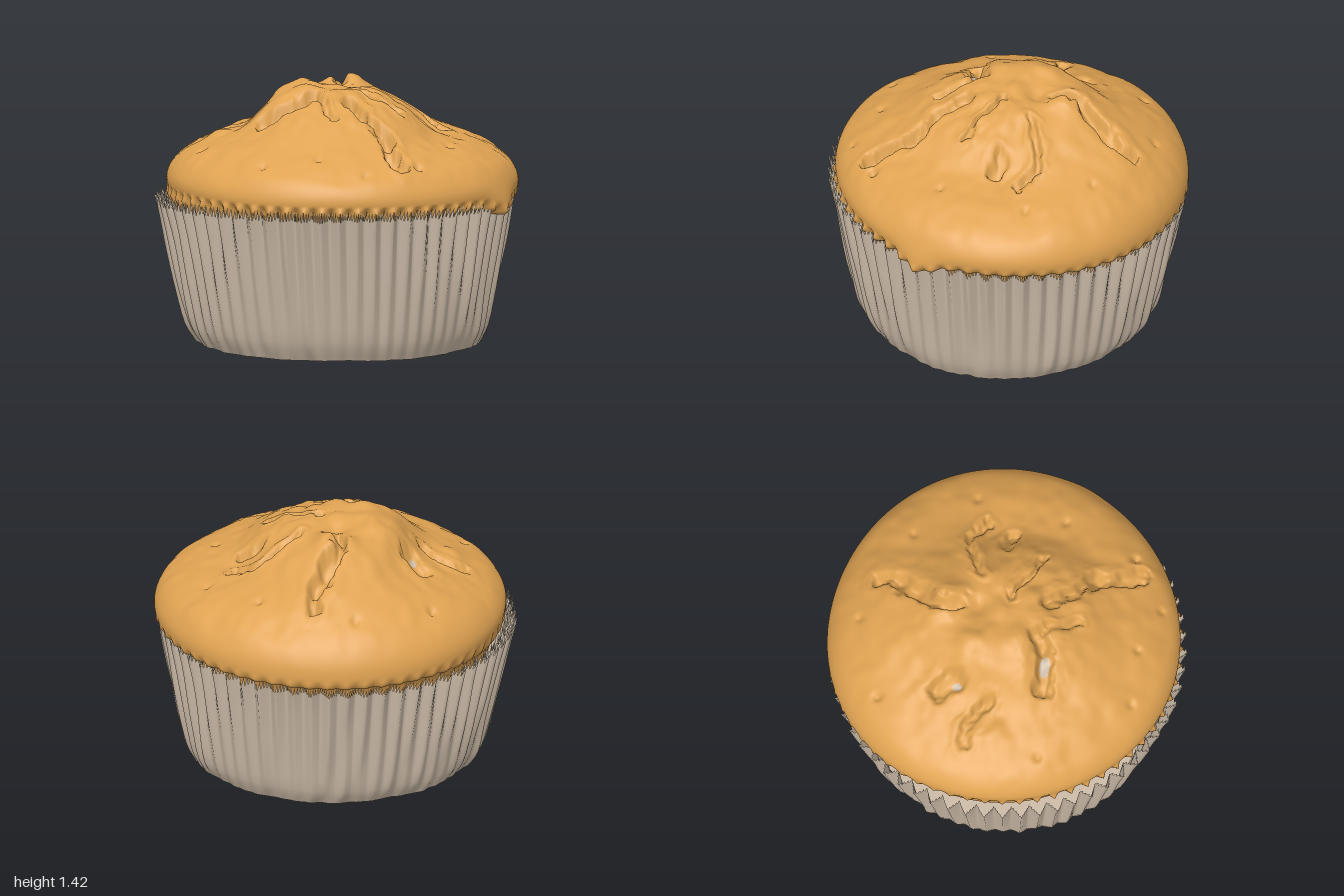
import * as THREE from 'three';
import { mergeVertices } from 'three/addons/utils/BufferGeometryUtils.js';

const TAU = Math.PI * 2;
const { sin, cos, exp, abs, hypot, floor } = Math;
const lerp = THREE.MathUtils.lerp;
const smooth = THREE.MathUtils.smoothstep;

// Repeatable value noise in -1..1
function hash(i, j) {
  const v = sin(i * 127.1 + j * 311.7) * 43758.5453;
  return (v - floor(v)) * 2 - 1;
}
function noise(x, y) {
  const i = floor(x), j = floor(y);
  const u = smooth(x - i, 0, 1), v = smooth(y - j, 0, 1);
  return lerp(lerp(hash(i, j), hash(i + 1, j), u), lerp(hash(i, j + 1), hash(i + 1, j + 1), u), v);
}

// Sixty sharp pleats: 1 on the ridges, -1 in the folds
const pleatWave = angle => 1 - 4 * abs((((angle * 60 / TAU) % 1) + 1) % 1 - .5);

// Closed ring surface: rows run top to bottom, columns run round from the front towards +x
function ringSurface(rows, cols, point) {
  const pos = [], index = [];
  for (let i = 0; i <= rows; i++)
    for (let j = 0; j < cols; j++) pos.push(...point(i / rows, (j / cols) * TAU));
  for (let i = 0; i < rows; i++)
    for (let j = 0; j < cols; j++) {
      const k = (j + 1) % cols;
      const a = i * cols + j, b = a + cols, c = (i + 1) * cols + k, d = i * cols + k;
      if (i > 0) index.push(a, b, d);
      index.push(b, c, d);
    }
  let g = new THREE.BufferGeometry();
  g.setAttribute('position', new THREE.Float32BufferAttribute(pos, 3));
  g.setIndex(index);
  g = mergeVertices(g, 1e-5);
  g.computeVertexNormals();
  return g;
}

// Cake outline (radius, height) towards each side
const profile = pts => new THREE.CatmullRomCurve3(pts.map(([r, y]) => new THREE.Vector3(r, y, 0)));
const outlines = {
  front: profile([[0, 1.395], [.2, 1.36], [.4, 1.29], [.6, 1.18], [.78, 1.09], [.9, 1], [.938, .92], [.928, .845], [.87, .74], [.8, .5]]),
  right: profile([[0, 1.395], [.2, 1.36], [.38, 1.28], [.58, 1.14], [.8, 1.08], [.93, 1], [.985, .9], [.968, .82], [.87, .77], [.8, .5]]),
  back: profile([[0, 1.395], [.2, 1.37], [.4, 1.36], [.6, 1.25], [.8, 1.12], [.93, 1], [.98, .88], [.97, .785], [.87, .74], [.8, .5]]),
  left: profile([[0, 1.395], [.2, 1.385], [.32, 1.35], [.5, 1.18], [.67, 1.12], [.86, 1.02], [.925, .92], [.91, .82], [.86, .72], [.8, .5]]),
};

// Cracks in the crust: depth, width, then x, z along each
const cracks = [
  [.08, .033, [.1, .2], [.2, .33], [.33, .45], [.37, .56], [.45, .66]],
  [.07, .04, [.12, -.72], [.1, -.6], [.03, -.5], [-.02, -.4], [0, -.28]],
  [.07, .045, [-.36, .25], [-.22, .25], [-.1, .18]],
  [.07, .045, [-.46, -.28], [-.4, -.25], [-.41, -.2]],
  [.035, .025, [-.7, -.11], [-.58, -.09], [-.47, -.02]],
  [.035, .02, [.2, -.18], [.32, -.25], [.42, -.28], [.55, -.22]],
  [.03, .018, [.1, .01], [.18, .03], [.27, .09], [.36, .13]],
  [.05, .03, [.42, -.08], [.46, -.06], [.5, -.06]],
  [.03, .02, [-.06, .2], [-.03, .3], [.03, .38]],
];
// Raised lumps and broad hollows: x, z, height, width
const lumps = [
  [-.01, -.04, .04, .08], [-.27, -.1, .04, .12], [.2, -.04, .015, .09], [.05, -.33, .03, .11],
  [-.16, .12, .03, .08], [.1, .1, .02, .07], [-.64, .03, .03, .08],
  [-.3, .33, -.03, .12], [.47, -.1, -.03, .12], [0, -.18, -.025, .06],
];
// Small pits: x, z, depth
const pits = [[-.52, -.62, .03], [.27, .8, .02], [-.3, .74, .02], [.53, .61, .04], [.65, .2, .02],
  [-.7, .3, .02], [.42, -.6, .02], [.7, -.3, .02], [-.1, -.8, .02], [0, .72, .02]];
// Paper flecks showing in the deepest cracks: x, z, half width, half depth
const flecks = [[-.24, .25, .05, .028], [-.42, -.2, .02, .025]];

function segmentDistance(x, z, [ax, az], [bx, bz]) {
  const dx = bx - ax, dz = bz - az;
  const t = THREE.MathUtils.clamp(((x - ax) * dx + (z - az) * dz) / (dx * dx + dz * dz), 0, 1);
  return hypot(x - ax - dx * t, z - az - dz * t);
}

function crustRelief(x, z) {
  const crown = 1 + exp(-((hypot(x, z) / .5) ** 4));
  let h = (noise(x * 6, z * 6) * .01 + noise(x * 15 + 9, z * 15) * .005) * crown;
  const wx = x + noise(x * 13, z * 13 + 40) * .02 + noise(x * 31, z * 31) * .014;
  const wz = z + noise(x * 13 + 70, z * 13) * .02 + noise(x * 31 + 50, z * 31) * .014;
  for (const [depth, width, ...path] of cracks) {
    let d = 9;
    for (let k = 1; k < path.length; k++) d = Math.min(d, segmentDistance(wx, wz, path[k - 1], path[k]));
    const ragged = 1 + .5 * noise(x * 18 + 20, z * 18);
    h += -depth * ragged * exp(-((d / width) ** 4)) + .008 * exp(-(((d - width * 2) / width) ** 2));
  }
  for (const [lx, lz, height, w] of lumps) h += height * exp(-((x - lx) ** 2 + (z - lz) ** 2) / (w * w));
  for (const [px, pz, depth] of pits) h -= depth * exp(-((x - px) ** 2 + (z - pz) ** 2) / .0005);
  return h;
}

function cakePoint(s, phi) {
  const sx = sin(phi), cz = cos(phi);
  const p = (cz > 0 ? outlines.front : outlines.back).getPoint(s);
  p.lerp((sx > 0 ? outlines.right : outlines.left).getPoint(s), sx * sx);
  // cake sits slightly towards the back of the wrapper
  let r = p.x - .036 * cz * sx * sx * smooth(s, .3, .6), y = p.y;
  // drip hanging over the wrapper on the model's left side
  const drip = exp(-(((phi - TAU / 4 + .25) / .12) ** 2)) * smooth(s, .6, .76) * (1 - smooth(s, .8, .92));
  r += drip * .035;
  y -= drip * .05;
  // lower edge fills the pleats at the front and only ripples at the back
  const fill = lerp(.01, .028, smooth(cz, -.2, .6));
  r += fill * pleatWave(phi) * smooth(s, .71, .78) * (1 - smooth(s, .82, .92));
  const x = r * sx, z = r * cz;
  y += crustRelief(x, z) * (1 - smooth(s, .5, .68));
  return [x, y, z];
}

// Gives the flecks their own material group
function splitFlecks(geometry) {
  const pos = geometry.attributes.position, index = geometry.index.array;
  const crustFaces = [], fleckFaces = [];
  for (let i = 0; i < index.length; i += 3) {
    const face = [index[i], index[i + 1], index[i + 2]];
    const x = face.reduce((sum, v) => sum + pos.getX(v) / 3, 0);
    const z = face.reduce((sum, v) => sum + pos.getZ(v) / 3, 0);
    const inFleck = flecks.some(([fx, fz, w, d]) => hypot((x - fx) / w, (z - fz) / d) < 1);
    (inFleck ? fleckFaces : crustFaces).push(...face);
  }
  geometry.setIndex([...crustFaces, ...fleckFaces]);
  geometry.addGroup(0, crustFaces.length, 0);
  geometry.addGroup(crustFaces.length, fleckFaces.length, 1);
  return geometry;
}

// Pleated paper wall
const wall = profile([[.772, .01], [.82, .1], [.858, .27], [.893, .47], [.923, .66], [.95, .82]]);
function wrapperPoint(s, phi) {
  const t = 1 - s, p = wall.getPoint(t);
  const pleat = pleatWave(phi + .006 * noise(phi * 7, t * 2) * sin(phi / 2) * s);
  const crumple = noise(cos(phi) * 11 + 30, sin(phi) * 11 + t * 2.5);
  const depth = lerp(.003, .034, t ** 1.3) * (1 + .45 * crumple * (1 - t * t));
  const r = p.x + pleat * depth + crumple * .012 * (1 - t * .8);
  const tilt = .045 * cos(phi) + .008 * sin(phi);
  const y = p.y + t * (tilt - .002) + .007 * noise(cos(phi) * 5, sin(phi) * 5 + 12) * (1 - t);
  return [r * sin(phi) + .01 - .021 * t, y, r * cos(phi) + .006 * t];
}

// Slightly uneven paper base
function basePoint(s, phi) {
  const edge = wrapperPoint(1, phi);
  const x = edge[0] * s, z = edge[2] * s;
  return [x, lerp(.012 + .008 * noise(x * 4, z * 4), edge[1], s ** 6), z];
}

export function createModel() {
  const crust = new THREE.MeshStandardMaterial({ color: 0xe0a352 });
  crust.name = 'goldenCrust';
  const paper = new THREE.MeshStandardMaterial({ color: 0xccbba7, side: THREE.DoubleSide });
  paper.name = 'bakingPaper';

  const group = new THREE.Group();
  group.name = 'muffin';
  const add = (name, geometry, material) => {
    const mesh = new THREE.Mesh(geometry, material);
    mesh.name = name;
    group.add(mesh);
  };
  add('cakeTop', splitFlecks(ringSurface(140, 480, cakePoint)), [crust, paper]);
  // rows run outwards, so the base is mirrored round to face down
  add('wrapperWall', ringSurface(14, 480, wrapperPoint), paper);
  add('wrapperBase', ringSurface(10, 120, (s, phi) => basePoint(s, TAU - phi)), paper);
  return group;
}
